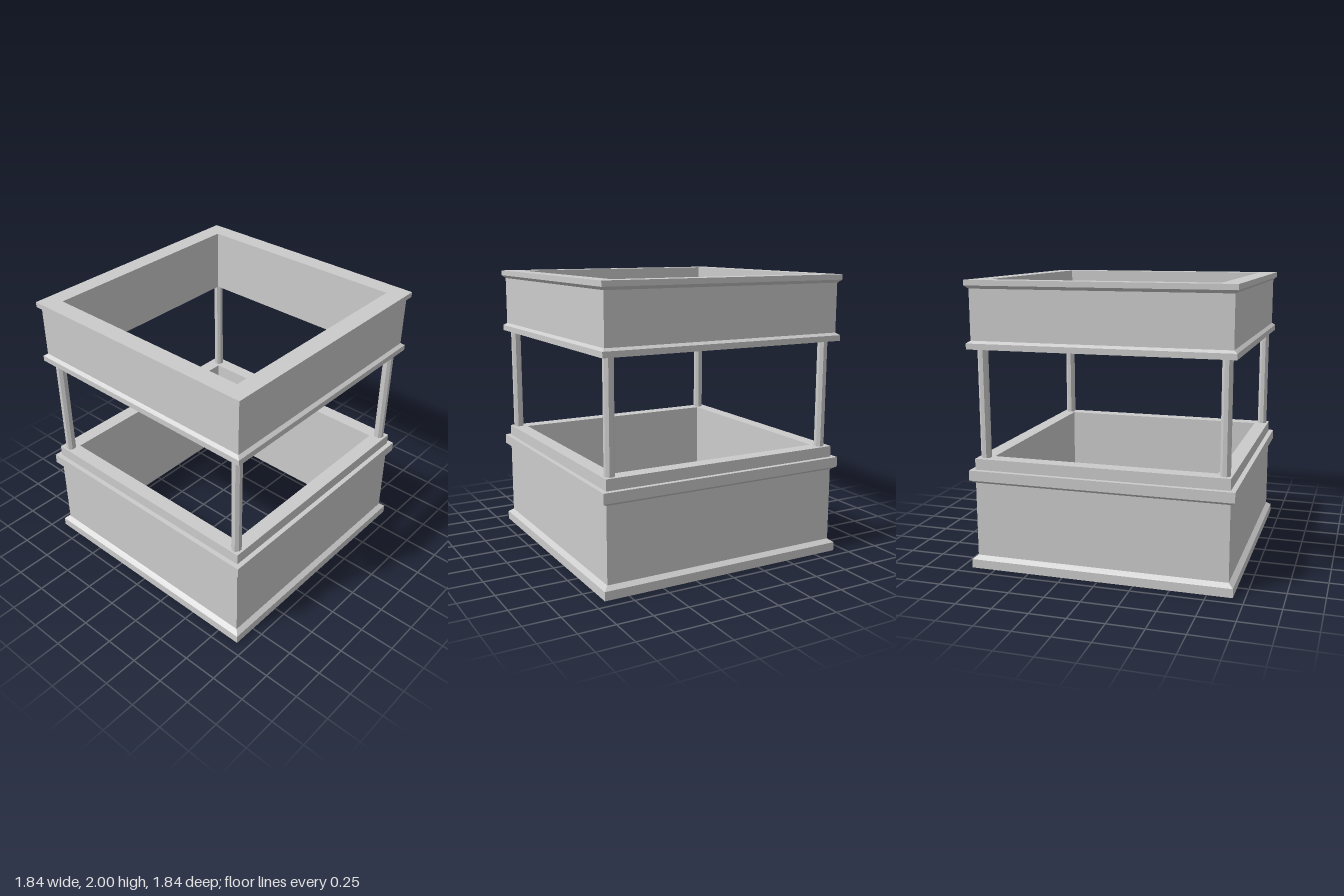
import * as THREE from 'three';

const material = new THREE.MeshStandardMaterial({ color: 0xcccccc, flatShading: true });

// Sweeps a closed [half-width, height] profile around a square
function squareRing(name, profile) {
  const points = [...profile, profile[0]].map(([w, y]) => new THREE.Vector2(w * Math.SQRT2, y));
  const geometry = new THREE.LatheGeometry(points, 4, Math.PI / 4).toNonIndexed();
  geometry.computeVertexNormals();
  const mesh = new THREE.Mesh(geometry, material);
  mesh.name = name;
  return mesh;
}

export function createModel() {
  const group = new THREE.Group();
  group.name = 'squareFrame';
  const inner = 0.785, wall = 0.888, lowerRim = 0.922, upperRim = 0.912;

  // Lower wall with plinth, ledge and raised curb
  group.add(squareRing('lowerWall', [
    [inner, 0], [lowerRim, 0], [lowerRim, 0.062], [wall, 0.087],
    [wall, 0.612], [lowerRim, 0.634], [lowerRim, 0.705],
    [wall, 0.705], [wall, 0.783], [inner, 0.783],
  ]));

  // Upper wall with bottom moulding and top cornice
  group.add(squareRing('upperWall', [
    [inner, 1.54], [upperRim, 1.54], [upperRim, 1.58], [wall, 1.597],
    [wall, 1.942], [upperRim, 1.963], [upperRim, 2], [inner, 2],
  ]));

  // Slender corner posts
  const postGeometry = new THREE.CylinderGeometry(0.036, 0.036, 0.757, 8);
  postGeometry.rotateY(Math.PI / 8);
  for (const x of [-0.84, 0.832]) {
    for (const z of [-0.823, 0.838]) {
      const post = new THREE.Mesh(postGeometry, material);
      post.name = 'cornerPost';
      post.position.set(x, 1.1615, z);
      group.add(post);
    }
  }
  return group;
}
